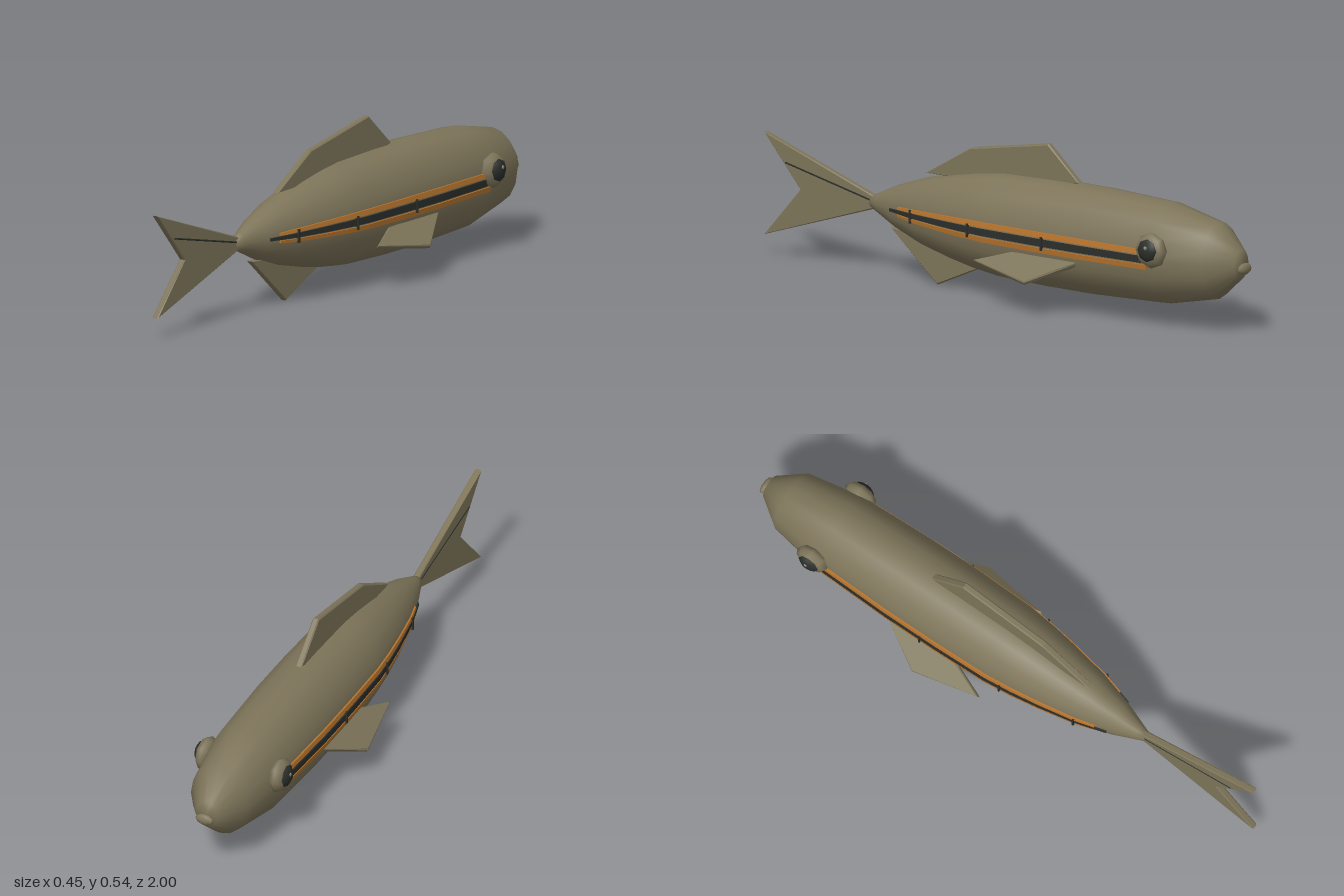
import * as THREE from 'three';

const mat = (name, color) => {
  const m = new THREE.MeshStandardMaterial({ color });
  m.name = name;
  return m;
};

// Body profile from nose to tail: [z, vertical radius]
const PROFILE = [
  [-0.972, 0], [-0.97, 0.05], [-0.88, 0.13], [-0.68, 0.173], [-0.4, 0.184], [-0.2, 0.184],
  [0, 0.178], [0.1, 0.165], [0.2, 0.146], [0.33, 0.115], [0.45, 0.072], [0.53, 0.034], [0.56, 0.02], [0.562, 0],
];
const CENTER_Y = 0.245, WIDTH = 0.805;

function radiusAt(z) {
  for (let i = 1; i < PROFILE.length; i++) {
    const [z0, r0] = PROFILE[i - 1], [z1, r1] = PROFILE[i];
    if (z <= z1) return r0 + (r1 - r0) * (z - z0) / (z1 - z0);
  }
  return 0;
}

// Side surface of the body at a height given as a fraction of the radius
const sideX = (z, f) => radiusAt(z) * WIDTH * (1 - 0.2 * Math.abs(f));

// Copy a geometry to the other side, keeping faces outward
function mirrored(geo) {
  const g = geo.index ? geo.toNonIndexed() : geo.clone();
  g.scale(-1, 1, 1);
  for (const attr of Object.values(g.attributes)) {
    for (let i = 0; i < attr.count; i += 3) {
      for (let k = 0; k < attr.itemSize; k++) {
        const t = attr.getComponent(i + 1, k);
        attr.setComponent(i + 1, k, attr.getComponent(i + 2, k));
        attr.setComponent(i + 2, k, t);
      }
    }
  }
  return g;
}

// Thin raised band along the flank between two height fractions
function bandGeometry(z0, z1, f0, f1) {
  const pos = [], idx = [];
  const zs = [z0, ...PROFILE.map((p) => p[0]).filter((z) => z > z0 && z < z1), z1];
  zs.forEach((z) => {
    const r = radiusAt(z);
    for (const [f, d] of [[f0, -0.003], [f0, 0.006], [f1, 0.006], [f1, -0.003]]) {
      pos.push(sideX(z, f) + d, CENTER_Y + f * r, z);
    }
  });
  for (let i = 0; i < zs.length - 1; i++) {
    for (let k = 0; k < 4; k++) {
      const a = i * 4 + k, b = i * 4 + (k + 1) % 4;
      idx.push(a, b, b + 4, a, b + 4, a + 4);
    }
  }
  const e = (zs.length - 1) * 4;
  idx.push(0, 2, 1, 0, 3, 2, e, e + 1, e + 2, e, e + 2, e + 3);
  const g = new THREE.BufferGeometry();
  g.setAttribute('position', new THREE.Float32BufferAttribute(pos, 3));
  g.setIndex(idx);
  const flat = g.toNonIndexed();
  flat.computeVertexNormals();
  return flat;
}

// Flat plate with a slight bevel, centred through its thickness
function plate(points, thickness) {
  const b = 0.004;
  const shape = new THREE.Shape(points.map(([x, y]) => new THREE.Vector2(x, y)));
  const g = new THREE.ExtrudeGeometry(shape, {
    depth: thickness - 2 * b, bevelEnabled: true, bevelSize: b, bevelOffset: -b, bevelThickness: b, bevelSegments: 1,
  });
  return g.translate(0, 0, b - thickness / 2);
}

// Upright fin outlined in (z, y)
const uprightFin = (points) => plate(points, 0.023).rotateY(-Math.PI / 2);

export function createModel() {
  const olive = mat('olive skin', 0x7d7459);
  const dark = mat('dark stripe', 0x2b2e2a);
  const orange = mat('orange stripe', 0xb8742c);
  const grey = mat('eye glint', 0x8c8c84);

  const model = new THREE.Group();
  model.name = 'fish';
  const add = (name, geo, material) => {
    const mesh = new THREE.Mesh(geo, material);
    mesh.name = name;
    model.add(mesh);
  };
  const addPair = (name, geo, material) => {
    add(name + 'Left', geo, material);
    add(name + 'Right', mirrored(geo), material);
  };

  // Body
  const body = new THREE.LatheGeometry(PROFILE.map(([z, r]) => new THREE.Vector2(r, z)), 16);
  body.rotateX(Math.PI / 2).scale(WIDTH, 1, 1).translate(0, CENTER_Y, 0);
  add('body', body, olive);

  // Mouth
  add('mouth', new THREE.SphereGeometry(1, 10, 6).scale(0.034, 0.02, 0.014).translate(0, 0.232, -0.984), olive);

  // Upright fins
  add('dorsalFin', uprightFin([[0.33, 0.376], [0.145, 0.487], [-0.178, 0.545], [-0.305, 0.43], [-0.2, 0.4], [0.15, 0.378]]), olive);
  add('tailFin', uprightFin([[0.53, 0.262], [1, 0.422], [0.85, 0.246], [1, 0.073], [0.53, 0.228]]), olive);
  add('analFin', uprightFin([[0.475, 0.17], [0.283, 0.002], [0.09, 0.09], [0.15, 0.13], [0.35, 0.165]]), olive);

  // Ray on each side of the tail
  const ray = new THREE.LineCurve3(new THREE.Vector3(0.011, 0.25, 0.55), new THREE.Vector3(0.011, 0.33, 0.91));
  addPair('tailRay', new THREE.TubeGeometry(ray, 1, 0.003, 5), dark);

  // Pectoral fins, sloping outward and down
  const pectoral = plate([[-0.026, -0.42], [0.105, -0.235], [0.05, 0.005], [-0.01, -0.12]], 0.018);
  pectoral.rotateX(Math.PI / 2).rotateZ(-0.7).translate(0.14, 0.184, 0);
  addPair('pectoralFin', pectoral, olive);

  // Flank stripes
  addPair('darkStripe', bandGeometry(-0.66, 0.44, -0.065, 0.065), dark);
  addPair('upperStripe', bandGeometry(-0.68, 0.4, 0.095, 0.19), orange);
  addPair('lowerStripe', bandGeometry(-0.68, 0.4, -0.19, -0.095), orange);

  // Small upright marks across the stripe
  for (const z of [0.33, 0.06, -0.255]) {
    const mark = new THREE.BoxGeometry(0.012, 0.046, 0.006).translate(sideX(z, 0) + 0.003, CENTER_Y - 0.002, z);
    addPair('flankMark', mark, dark);
  }

  // Eyes: faceted socket, pupil and glint
  const socket = new THREE.SphereGeometry(1, 8, 6).rotateZ(Math.PI / 2).scale(0.033, 0.061, 0.061);
  addPair('eyeSocket', socket.translate(0.137, 0.28, -0.7), olive);
  const pupil = new THREE.SphereGeometry(1, 8, 6).rotateZ(Math.PI / 2).scale(0.026, 0.043, 0.043);
  addPair('pupil', pupil.translate(0.151, 0.283, -0.7), dark);
  const glint = new THREE.SphereGeometry(0.007, 6, 4).scale(0.5, 1, 1);
  addPair('eyeGlint', glint.translate(0.175, 0.295, -0.703), grey);

  return model;
}
